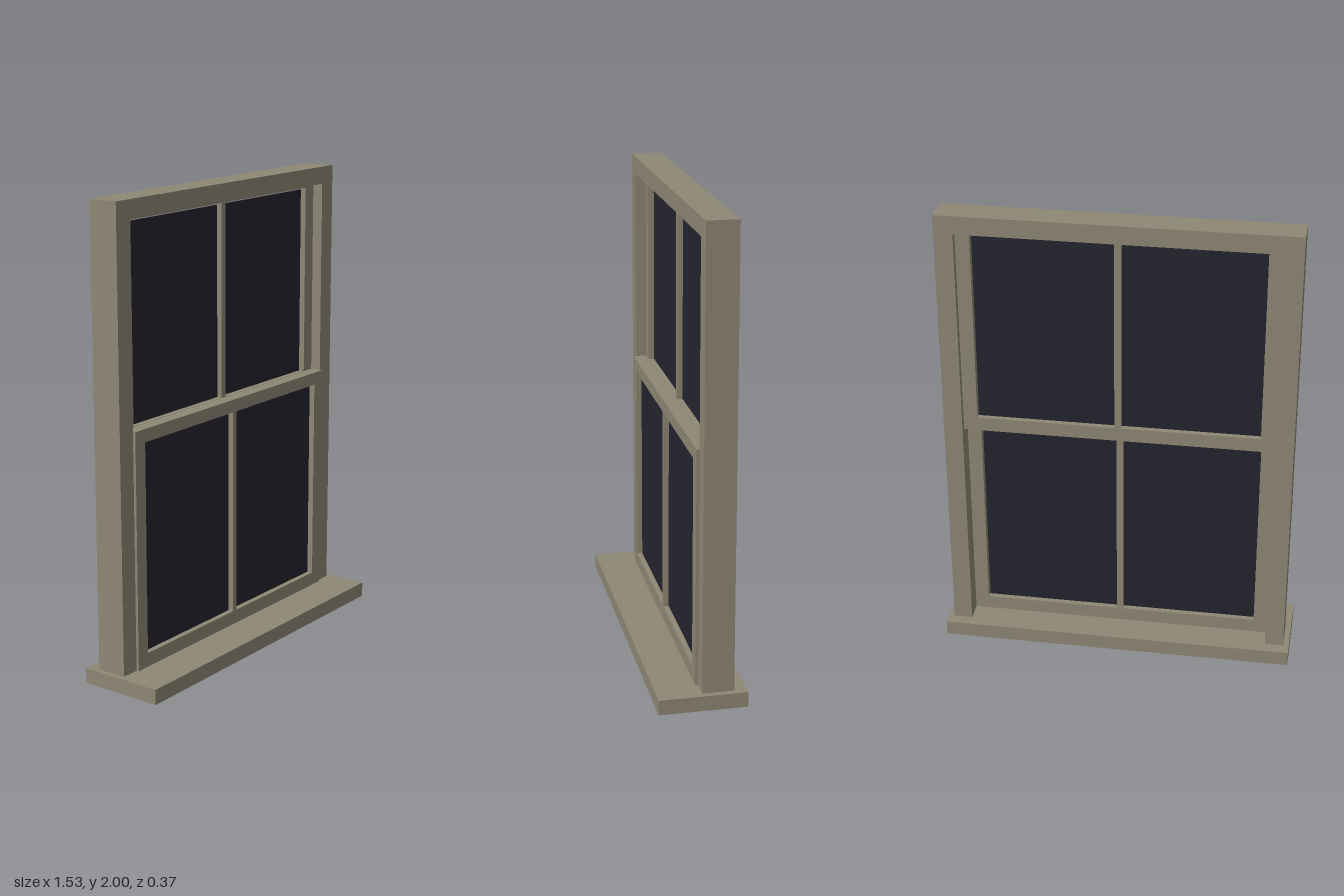
import * as THREE from 'three';

export function createModel() {
  const model = new THREE.Group();
  model.name = 'sashWindow';

  const wood = new THREE.MeshStandardMaterial({ color: 0x8e8775 });
  wood.name = 'olive painted wood';
  const glass = new THREE.MeshStandardMaterial({ color: 0x24242f });
  glass.name = 'dark glass';

  // Box given by its lower and upper bounds on each axis
  function box(parent, name, mat, [x0, x1], [y0, y1], [z0, z1]) {
    const mesh = new THREE.Mesh(new THREE.BoxGeometry(x1 - x0, y1 - y0, z1 - z0), mat);
    mesh.position.set((x0 + x1) / 2, (y0 + y1) / 2, (z0 + z1) / 2);
    mesh.name = name;
    parent.add(mesh);
  }

  // Rectangular ring extruded along z, with a rectangular opening
  function ring(parent, name, halfW, y0, y1, openHalfW, openY0, openY1, z0, z1) {
    const rect = (S, w, a, b) => new S([
      new THREE.Vector2(-w, a), new THREE.Vector2(w, a),
      new THREE.Vector2(w, b), new THREE.Vector2(-w, b)]);
    const shape = rect(THREE.Shape, halfW, y0, y1);
    shape.holes.push(rect(THREE.Path, openHalfW, openY0, openY1));
    const geo = new THREE.ExtrudeGeometry(shape, { depth: z1 - z0, bevelEnabled: false });
    geo.translate(0, 0, z0);
    const mesh = new THREE.Mesh(geo, wood);
    mesh.name = name;
    parent.add(mesh);
  }

  // Sill
  box(model, 'sill', wood, [-0.765, 0.765], [0, 0.065], [-0.185, 0.185]);

  // Outer frame: two jambs and a head
  const frame = new THREE.Group();
  frame.name = 'outerFrame';
  model.add(frame);
  const depth = [-0.132, 0];
  box(frame, 'leftJamb', wood, [0.66, 0.74], [0.065, 1.925], depth);
  box(frame, 'rightJamb', wood, [-0.74, -0.66], [0.065, 1.925], depth);
  box(frame, 'head', wood, [-0.74, 0.74], [1.925, 2], depth);

  // Sash: ring, central glazing bar and a thin pane
  function sash(name, y0, y1, openY0, openY1, paneTop, z0, z1) {
    const group = new THREE.Group();
    group.name = name;
    model.add(group);
    ring(group, 'sashRails', 0.66, y0, y1, 0.6, openY0, openY1, z0, z1);
    box(group, 'glazingBar', wood, [-0.014, 0.014], [openY0, openY1], [z0 + 0.002, z1 - 0.002]);
    const mid = (z0 + z1) / 2;
    box(group, 'pane', glass, [-0.598, 0.598], [openY0, paneTop], [mid - 0.004, mid + 0.004]);
  }
  sash('lowerSash', 0.065, 1.08, 0.125, 1.025, 1.025, -0.045, 0.012);
  // The upper pane stops just short of its top rail
  sash('upperSash', 1.02, 1.925, 1.08, 1.91, 1.9, -0.104, -0.047);

  return model;
}
